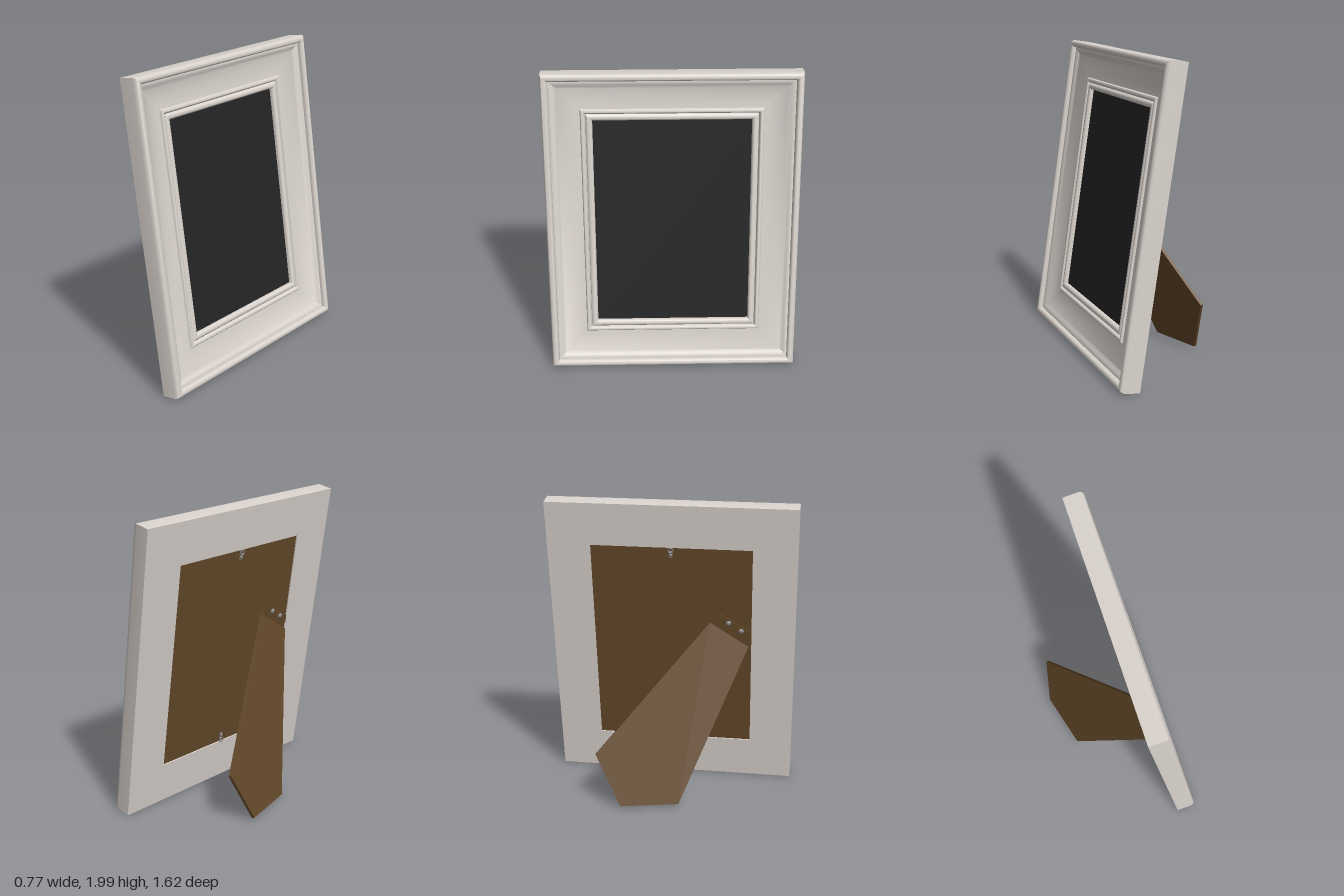
import * as THREE from 'three';
import { toCreasedNormals } from 'three/addons/utils/BufferGeometryUtils.js';

const material = (name, color) => {
  const m = new THREE.MeshStandardMaterial({ color });
  m.name = name;
  return m;
};

const HALF_WIDTH = 0.81, HEIGHT = 2.0, TILT = 0.15;

// Moulding section: [inset from the outer edge, height above the back plane]
function mouldingProfile() {
  const pts = [
    [0, 0], [0, 0.1], [0.003, 0.115], [0.01, 0.127], [0.022, 0.132],
    [0.035, 0.13], [0.044, 0.121], [0.047, 0.108], [0.047, 0.1], [0.058, 0.1],
  ];
  // concave cove
  for (let i = 1; i <= 10; i++) {
    const t = i / 10;
    pts.push([0.058 + 0.177 * t, 0.05 + 0.05 * Math.pow(1 - t, 2.2)]);
  }
  // two inner beads
  const bead = (start, end, base, rise) => {
    for (let i = 0; i <= 6; i++) {
      const a = (i / 6) * Math.PI;
      pts.push([(start + end) / 2 - Math.cos(a) * (end - start) / 2, base + Math.sin(a) * rise]);
    }
  };
  bead(0.236, 0.264, 0.054, 0.012);
  bead(0.268, 0.31, 0.045, 0.017);
  // rabbet at the back
  pts.push([0.31, 0.03], [0.285, 0.03], [0.285, 0], [0, 0]);
  return pts;
}

// Sweeps the profile round the rectangle with mitred corners
function frameGeometry() {
  const profile = mouldingProfile(), pos = [];
  const corner = (k, [d, w]) => {
    const z = (HALF_WIDTH - d) * (k === 1 || k === 2 ? 1 : -1);
    return [w, k < 2 ? d : HEIGHT - d, z];
  };
  for (let k = 0; k < 4; k++) {
    const n = (k + 1) % 4;
    for (let i = 0; i < profile.length - 1; i++) {
      const a = corner(k, profile[i]), b = corner(k, profile[i + 1]);
      const c = corner(n, profile[i + 1]), d = corner(n, profile[i]);
      pos.push(...a, ...b, ...c, ...a, ...c, ...d);
    }
  }
  const g = new THREE.BufferGeometry();
  g.setAttribute('position', new THREE.Float32BufferAttribute(pos, 3));
  return toCreasedNormals(g, 0.65);
}

export function createModel() {
  const cream = material('cream paint', 0xdbd4ce);
  const black = material('black picture', 0x242424);
  const brown = material('brown board', 0x654a2b);
  const metal = material('grey metal', 0x8c8a88);

  const model = new THREE.Group();
  model.name = 'pictureFrame';
  const add = (parent, name, geo, mat, x = 0, y = 0, z = 0) => {
    const mesh = new THREE.Mesh(geo, mat);
    mesh.name = name;
    mesh.position.set(x, y, z);
    parent.add(mesh);
    return mesh;
  };

  // Leaning frame, with its face towards +x
  const frame = new THREE.Group();
  frame.name = 'leaningFrame';
  frame.position.set(0.255, 0.003, 0);
  frame.rotation.z = TILT;
  model.add(frame);

  add(frame, 'moulding', frameGeometry(), cream);
  const panelW = 2 * (HALF_WIDTH - 0.285), panelH = HEIGHT - 0.57;
  add(frame, 'picture', new THREE.BoxGeometry(0.01, panelH, panelW), black, 0.027, 1, 0);
  add(frame, 'backBoard', new THREE.BoxGeometry(0.014, panelH, panelW), brown, 0.015, 1, 0);

  // Hanging loops near the top and bottom of the back
  for (const [y, dir] of [[1.685, 1], [0.315, -1]]) {
    const hanger = new THREE.Group();
    hanger.name = 'hanger';
    hanger.position.set(0, y, 0);
    frame.add(hanger);
    add(hanger, 'hangerPlate', new THREE.BoxGeometry(0.012, 0.04, 0.02), metal, 0.003, -0.015 * dir, 0);
    const screw = add(hanger, 'hangerScrew', new THREE.SphereGeometry(0.011, 12, 8), metal, -0.003, -0.02 * dir, 0);
    screw.scale.x = 0.6;
    const loop = add(hanger, 'hangerLoop', new THREE.TorusGeometry(0.016, 0.004, 8, 20), metal, -0.006, 0.014 * dir, 0);
    loop.rotation.y = Math.PI / 2;
  }

  // Hinge strip that carries the leg
  const hinge = new THREE.Group();
  hinge.name = 'hinge';
  hinge.position.set(0.005, 1.12, 0.385);
  hinge.rotation.x = 0.58;
  frame.add(hinge);
  add(hinge, 'hingeStrip', new THREE.BoxGeometry(0.008, 0.1, 0.28), brown, 0, 0.03, 0);
  for (const z of [-0.05, 0.05]) {
    const rivet = add(hinge, 'rivet', new THREE.SphereGeometry(0.018, 14, 10), metal, -0.005, 0.055, z);
    rivet.scale.x = 0.6;
  }

  // Slanted easel leg: a tapered board with a pointed foot
  const outline = new THREE.Shape([
    [-0.153, 0], [-0.325, -1.135], [0, -1.345], [0.325, -1.135], [0.153, 0],
  ].map(([x, y]) => new THREE.Vector2(x, y)));
  const legGeo = new THREE.ExtrudeGeometry(outline, { depth: 0.02, bevelEnabled: false });
  legGeo.translate(0, 0, -0.01);
  const across = new THREE.Vector3(0.092, -0.547, 0.832).normalize();
  const along = new THREE.Vector3(0.339, 0.809, 0.481);
  along.addScaledVector(across, -along.dot(across)).normalize();
  const out = new THREE.Vector3().crossVectors(across, along);
  const leg = add(model, 'easelLeg', legGeo, brown, 0.0775, 1.105, 0.378);
  leg.quaternion.setFromRotationMatrix(new THREE.Matrix4().makeBasis(across, along, out));

  return model;
}
